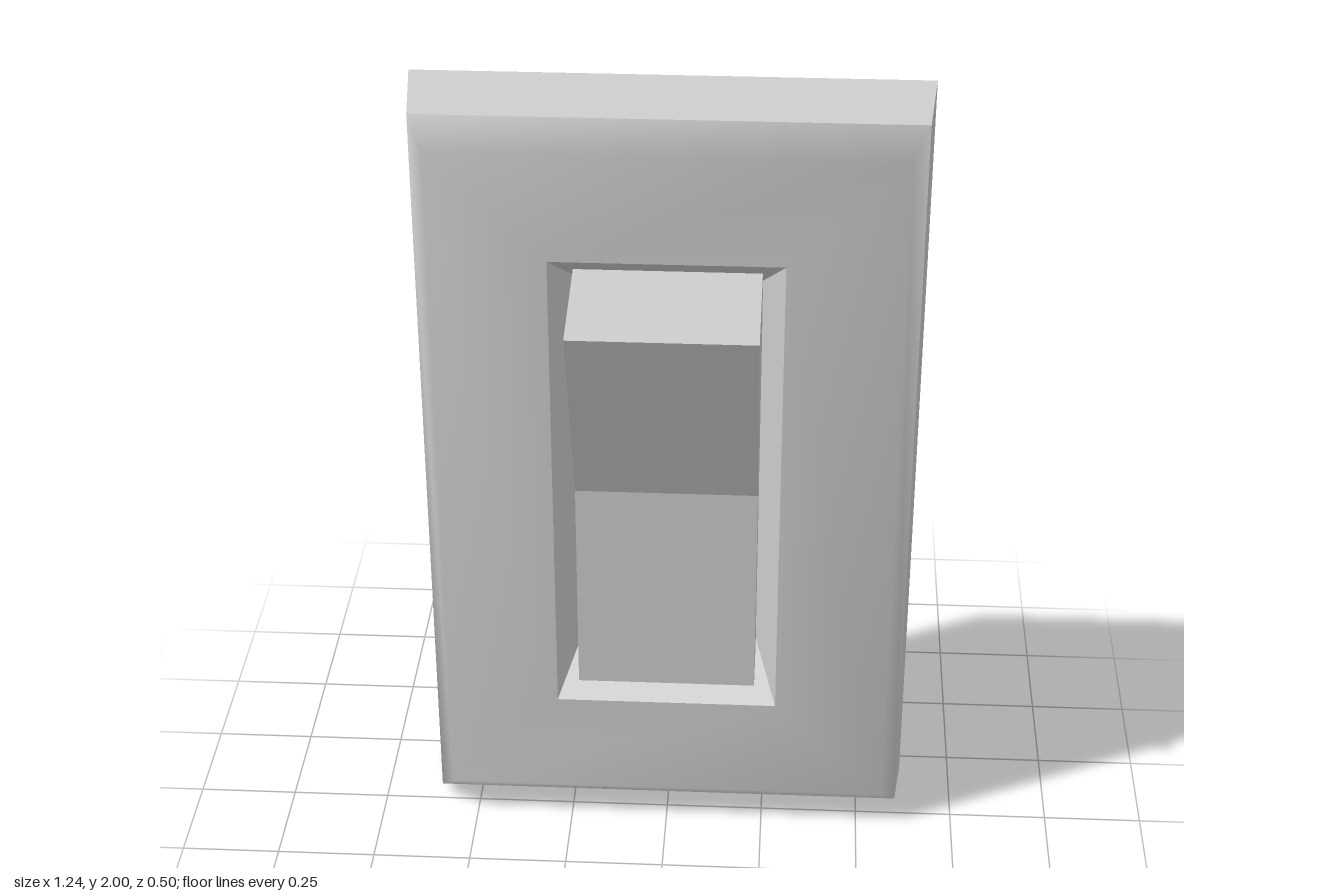
import * as THREE from 'three';

const material = (flatShading) =>
  new THREE.MeshStandardMaterial({ color: 0xcccccc, flatShading });

// Rectangular cross-section, counter-clockwise seen from the front
const ring = (halfW, y0, y1, z) => [
  [-halfW, y0, z], [halfW, y0, z], [halfW, y1, z], [-halfW, y1, z],
];

// Skin through rings ordered from back to front (outside faces outward)
function loft(name, rings, { smooth = false, capStart = false, capEnd = false } = {}) {
  const index = [];
  for (let r = 0; r < rings.length - 1; r++) {
    for (let i = 0; i < 4; i++) {
      const a = r * 4 + i, b = r * 4 + (i + 1) % 4;
      index.push(a, b, b + 4, a, b + 4, a + 4);
    }
  }
  if (capStart) index.push(0, 2, 1, 0, 3, 2);
  const e = (rings.length - 1) * 4;
  if (capEnd) index.push(e, e + 1, e + 2, e, e + 2, e + 3);
  let geometry = new THREE.BufferGeometry();
  geometry.setAttribute('position', new THREE.Float32BufferAttribute(rings.flat(2), 3));
  geometry.setIndex(index);
  if (!smooth) geometry = geometry.toNonIndexed();
  geometry.computeVertexNormals();
  const mesh = new THREE.Mesh(geometry, material(!smooth));
  mesh.name = name;
  return mesh;
}

export function createModel() {
  const model = new THREE.Group();
  model.name = 'rockerSwitch';

  const backEdge = ring(0.62, 0, 2, -0.195);
  const sideEdge = ring(0.602, 0.035, 1.965, -0.015);
  const frontEdge = ring(0.562, 0.1, 1.9, 0.055);
  const opening = ring(0.28, 0.375, 1.63, 0.055);
  const recessFloor = ring(0.222, 0.49, 1.515, -0.1);

  // Wall plate: tapered sides with flat back, softly shaded bevel and face, sloped recess
  const plate = new THREE.Group();
  plate.name = 'wallPlate';
  plate.add(
    loft('plateSides', [backEdge, sideEdge], { capStart: true }),
    loft('plateFace', [sideEdge, frontEdge, opening], { smooth: true }),
    loft('recess', [opening, recessFloor], { capEnd: true }),
  );
  model.add(plate);

  // Rocker: bent side profile extruded across the width
  const profile = new THREE.Shape([
    [-0.255, 1.53], [0.055, 1.585], [0.25, 0.485], [-0.045, 0.43], [-0.045, 1.0],
  ].map(([x, y]) => new THREE.Vector2(x, y)));
  const geometry = new THREE.ExtrudeGeometry(profile, { depth: 0.45, bevelEnabled: false });
  geometry.translate(0, 0, -0.225).rotateY(Math.PI / 2);
  const rocker = new THREE.Mesh(geometry, material(true));
  rocker.name = 'rocker';
  model.add(rocker);

  return model;
}
